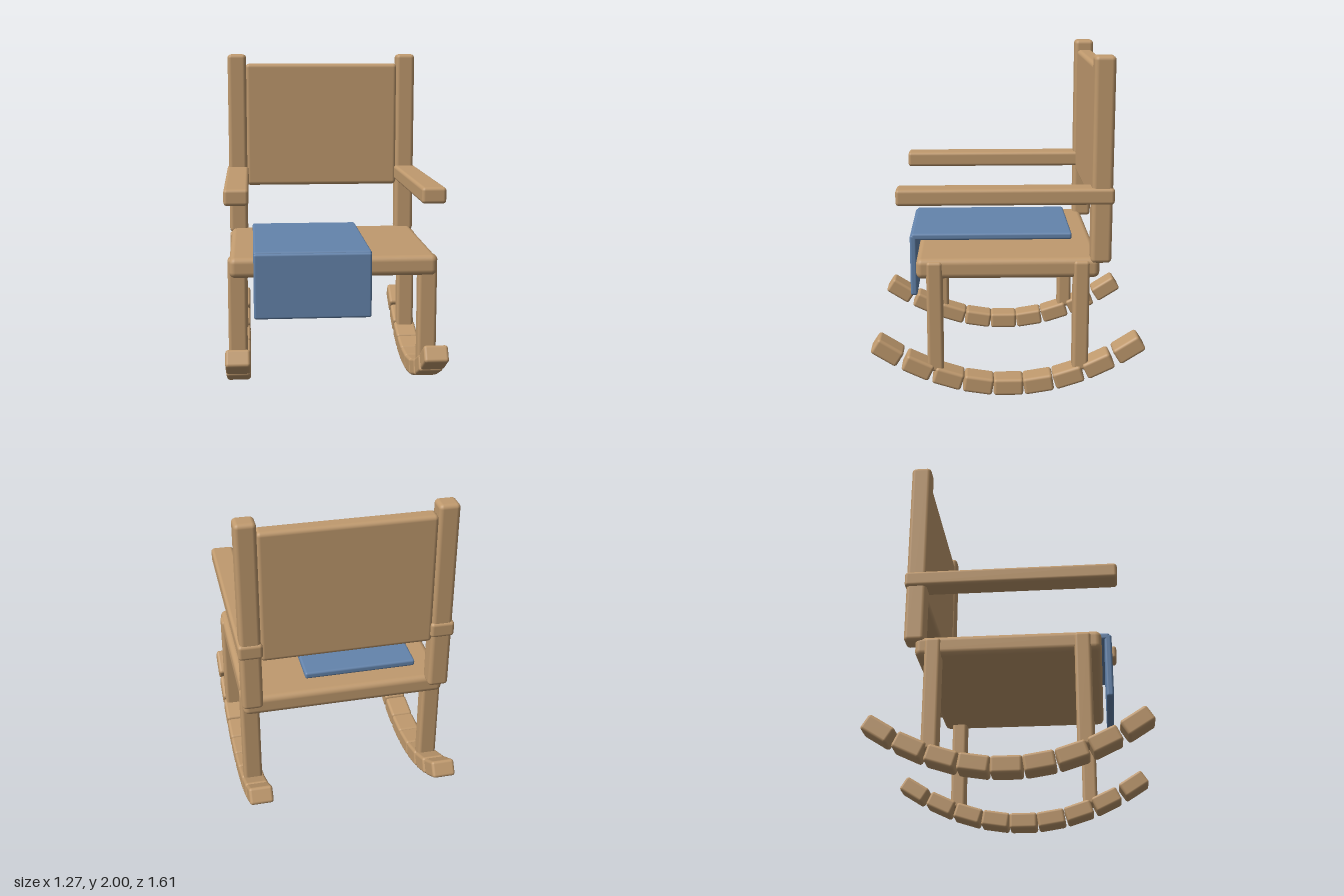
import * as THREE from 'three';
import { RoundedBoxGeometry } from 'three/addons/geometries/RoundedBoxGeometry.js';

export function createModel() {
  const chair = new THREE.Group();
  chair.name = 'rockingChair';

  const wood = new THREE.MeshStandardMaterial({ color: 0xc09a6e });
  wood.name = 'wood';
  const cloth = new THREE.MeshStandardMaterial({ color: 0x6484ac });
  cloth.name = 'blue cloth';

  // Soft-edged box given by its lower and upper limits on each axis
  function slab(name, [x0, x1], [y0, y1], [z0, z1], radius, material = wood) {
    const geometry = new RoundedBoxGeometry(x1 - x0, y1 - y0, z1 - z0, 3, radius);
    const mesh = new THREE.Mesh(geometry, material);
    mesh.name = name;
    mesh.position.set((x0 + x1) / 2, (y0 + y1) / 2, (z0 + z1) / 2);
    chair.add(mesh);
    return mesh;
  }

  // Seat and backrest
  slab('seat', [-0.61, 0.61], [0.718, 0.838], [-0.53, 0.535], 0.035);
  slab('backPanel', [-0.505, 0.505], [1.128, 1.938], [-0.587, -0.487], 0.025);

  for (const [side, s] of [['left', 1], ['right', -1]]) {
    const span = (a, b) => (s > 0 ? [a, b] : [-b, -a]);

    // Posts, armrests and legs
    slab(side + 'BackPost', span(0.5, 0.622), [0.81, 2], [-0.595, -0.475], 0.025);
    slab(side + 'Armrest', span(0.492, 0.634), [1.16, 1.255], [-0.604, 0.64], 0.02);
    slab(side + 'FrontLeg', span(0.508, 0.62), [0.15, 0.824], [0.382, 0.476], 0.02);
    slab(side + 'BackLeg', span(0.508, 0.62), [0.15, 0.824], [-0.472, -0.378], 0.02);

    // Rocker: nine blocks following a shallow parabola
    for (let i = -4; i <= 4; i++) {
      const z = i * 0.178;
      const block = slab(side + 'RockerBlock' + (i + 5), span(0.492, 0.634), [0, 0.102], [-0.088, 0.088], 0.018);
      block.position.y += 0.445 * z * z;
      block.position.z = z;
      block.rotation.x = -Math.atan(0.89 * z);
    }
  }

  // Blanket lying on the seat and hanging over its front edge
  slab('blanketTop', [-0.47, 0.215], [0.842, 0.884], [-0.402, 0.583], 0.014, cloth);
  slab('blanketFlap', [-0.47, 0.215], [0.488, 0.874], [0.552, 0.594], 0.014, cloth);

  return chair;
}
